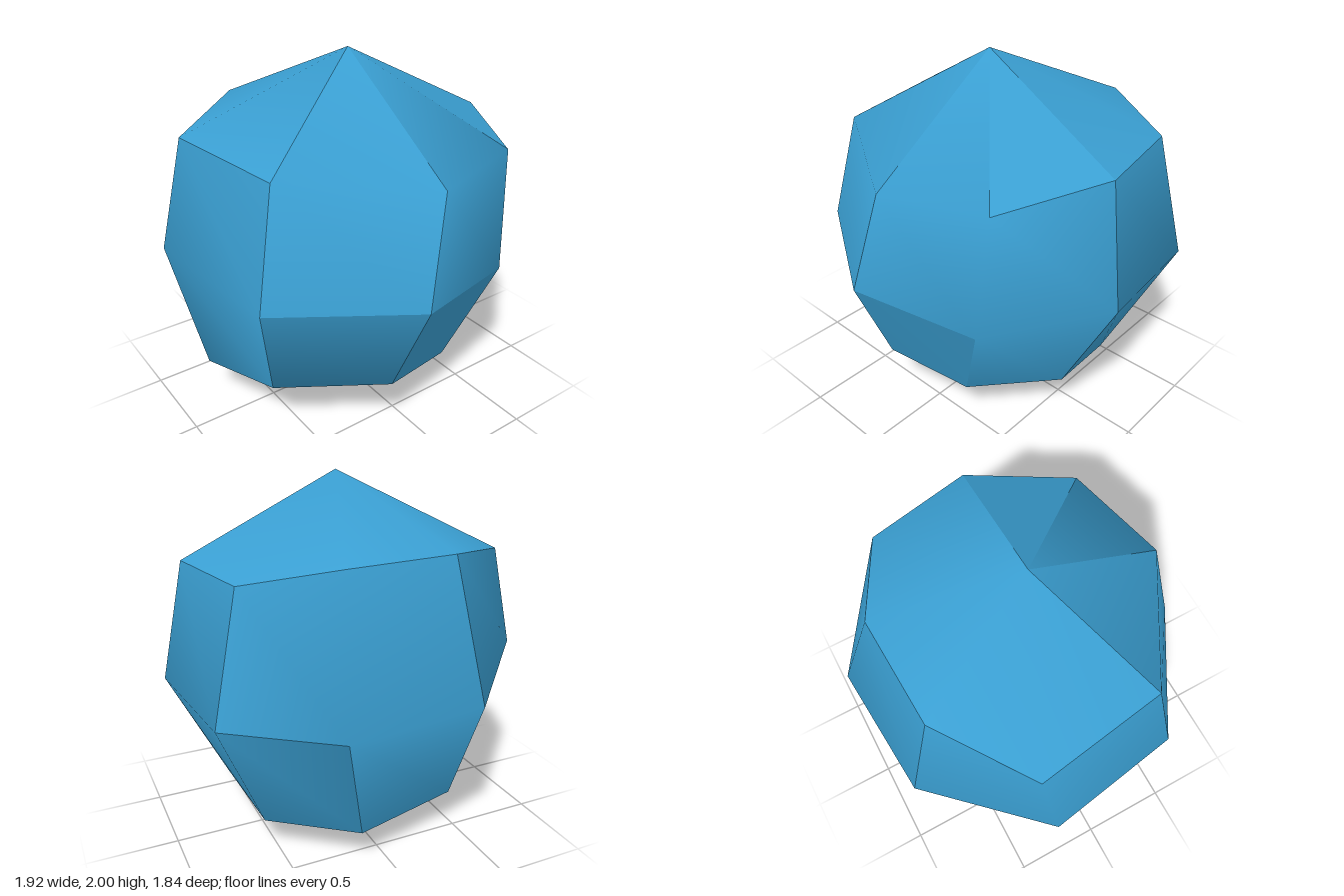
import * as THREE from 'three';

// Rings of the stone, eight points each, running from -x by way of +z to +x and round the back
const upper = [[-0.8, 1.575, -0.31], [-0.69, 1.545, 0.41], [0, 1.48, 0.83], [0.57, 1.51, 0.67],
  [0.84, 1.575, 0.12], [0.73, 1.57, -0.46], [0.28, 1.655, -0.69], [-0.32, 1.66, -0.66]];
const middle = [[-0.96, 1.0, -0.28], [-0.83, 0.93, 0.5], [-0.14, 0.91, 0.92], [0.53, 0.85, 0.73],
  [0.96, 0.92, 0.18], [0.88, 0.9, -0.53], [0.37, 0.905, -0.92], [-0.4, 0.92, -0.86]];
const lower = [[-0.83, 0.3, -0.13], [-0.69, 0.35, 0.34], [-0.17, 0.36, 0.69], [0.3, 0.29, 0.57],
  [0.64, 0.28, 0.165], [0.58, 0.2, -0.3], [0.16, 0.21, -0.64], [-0.445, 0.24, -0.52]];
const points = [...upper, ...middle, ...lower, [0, 2, 0.05], [-0.03, 0, 0.02]];
const TOP = 24, BOTTOM = 25;

// Triangles of one panel: T = top cap, U = upper band, L = lower band, B = bottom cap
function panel(code) {
  const k = Number(code[1]), n = (k + 1) % 8;
  if (code[0] === 'T') return [TOP, k, n];
  if (code[0] === 'B') return [16 + k, BOTTOM, 16 + n];
  const r = code[0] === 'U' ? 0 : 8;
  return [r + n, r + k, r + 8 + n, r + k, r + 8 + k, r + 8 + n];
}

// Panels that share smooth normals; edges between patches stay sharp
const patches = {
  crownPatch: 'T4 T5 T6 T7 T0',
  frontRightPatch: 'T1 U1',
  frontLeftPatch: 'T2 U2 U3 L3',
  crownFacet: 'T3',
  lowerFrontFacet: 'L2',
  leftPatch: 'U4 L4 L5',
  backPatch: 'U5 U6 L6',
  rightPatch: 'U7 U0 L7 L0',
  basePatch: 'L1 B0 B1 B2 B3 B4 B5 B6 B7',
};

export function createModel() {
  const group = new THREE.Group();
  group.name = 'facetedStone';
  const blue = new THREE.MeshStandardMaterial({ color: 0x3a9fd2 });
  blue.name = 'stoneBlue';

  for (const [name, codes] of Object.entries(patches)) {
    const index = codes.split(' ').flatMap(panel);
    const used = [...new Set(index)];
    const geometry = new THREE.BufferGeometry();
    geometry.setAttribute('position',
      new THREE.Float32BufferAttribute(used.flatMap((i) => points[i]), 3));
    geometry.setIndex(index.map((i) => used.indexOf(i)));
    geometry.computeVertexNormals();
    const mesh = new THREE.Mesh(geometry, blue);
    mesh.name = name;
    group.add(mesh);
  }
  return group;
}
